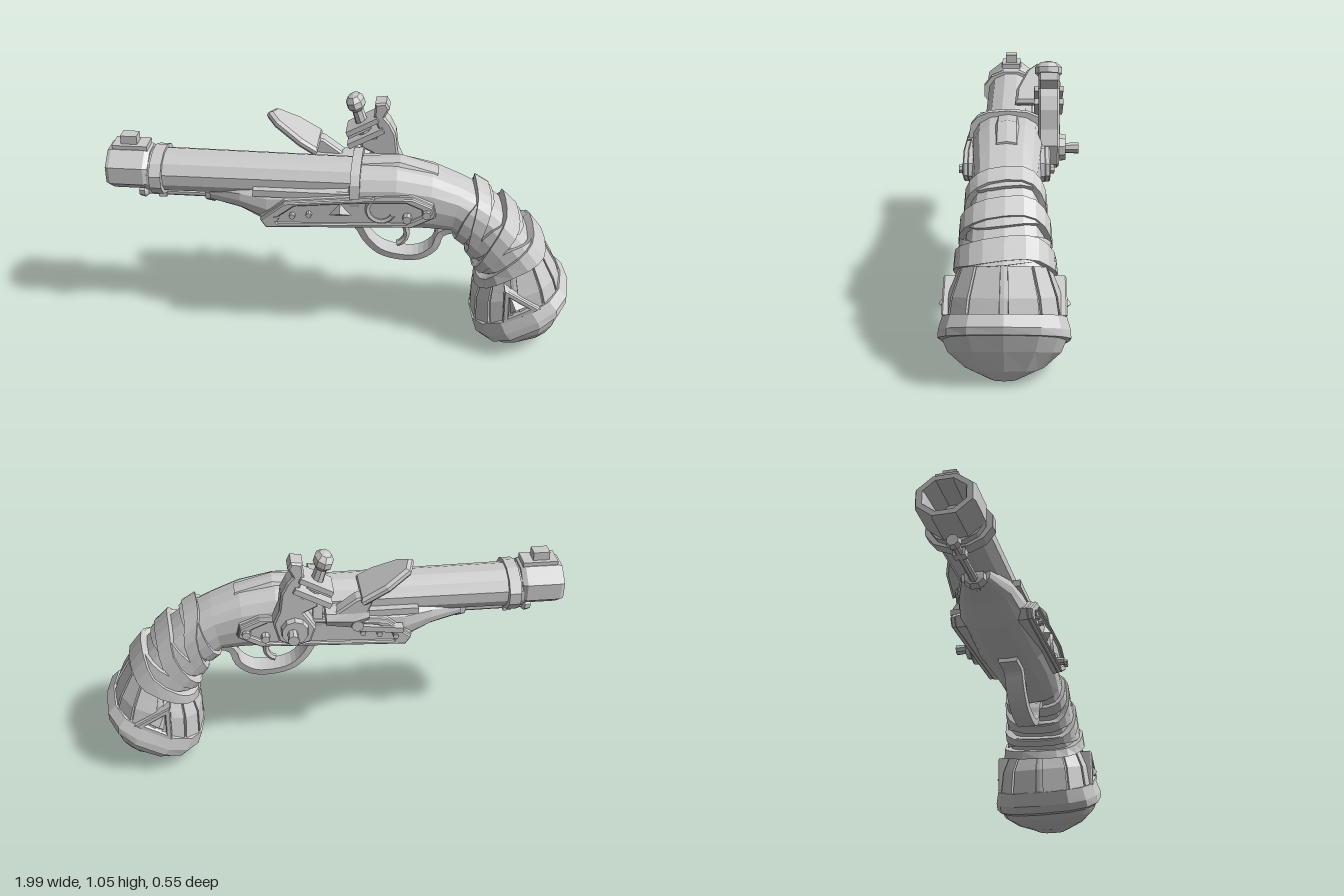
import * as THREE from 'three';

const material = new THREE.MeshStandardMaterial({ color: 0xcccccc, flatShading: true, side: THREE.DoubleSide });
const V = (x, y, z = 0) => new THREE.Vector3(x, y, z);

// Turns every face outward by checking the sign of the enclosed volume
function outward(geo) {
  const p = geo.attributes.position, ix = geo.index.array;
  const v = [V(0, 0), V(0, 0), V(0, 0)];
  let vol = 0;
  for (let i = 0; i < ix.length; i += 3) {
    v.forEach((q, k) => q.fromBufferAttribute(p, ix[i + k]));
    vol += v[0].dot(v[1].clone().cross(v[2]));
  }
  if (vol < 0) for (let i = 0; i < ix.length; i += 3) [ix[i], ix[i + 1]] = [ix[i + 1], ix[i]];
  geo.computeVertexNormals();
  return geo;
}

// Skins a row of equal rings, with end caps unless the row is a closed loop
function loft(rings, loop = false) {
  const n = rings[0].length, m = rings.length, pts = rings.flat(), idx = [];
  for (let i = 0; i < (loop ? m : m - 1); i++) for (let j = 0; j < n; j++) {
    const a = i * n + j, b = i * n + (j + 1) % n, c = ((i + 1) % m) * n + j, d = ((i + 1) % m) * n + (j + 1) % n;
    idx.push(a, b, c, b, d, c);
  }
  if (!loop) for (let j = 1; j < n - 1; j++) {
    const e = (m - 1) * n;
    idx.push(0, j + 1, j, e, e + j, e + j + 1);
  }
  const geo = new THREE.BufferGeometry().setFromPoints(pts);
  geo.setIndex(idx);
  return outward(geo);
}

// Rounded-square section spanning a top point, a bottom point and a half width
const soft = v => Math.sign(v) * Math.abs(v) ** 0.75;
function sectionPoint([tx, ty, bx, by, w], a, off = 0) {
  const c = soft(Math.cos(a)), s = soft(Math.sin(a));
  const hx = (tx - bx) / 2, hy = (ty - by) / 2, k = 1 + off / Math.hypot(hx, hy);
  return V((tx + bx) / 2 + hx * c * k, (ty + by) / 2 + hy * c * k, (w + off) * s);
}
const section = (st, n = 16) => Array.from({ length: n }, (_, i) => sectionPoint(st, i / n * Math.PI * 2));

// Turned part along x from [x, radius] pairs
function turned(profile, y, sides, zScale = 1) {
  const g = new THREE.LatheGeometry(profile.map(([x, r]) => new THREE.Vector2(r, x)), sides, Math.PI / sides);
  return outward(g.rotateZ(-Math.PI / 2).scale(1, 1, zScale).translate(0, y, 0));
}

function slab(points, depth, bevel = 0.008, hole) {
  const shape = new THREE.Shape(points.map(p => new THREE.Vector2(...p)));
  if (hole) shape.holes.push(new THREE.Path(hole.map(p => new THREE.Vector2(...p))));
  return new THREE.ExtrudeGeometry(shape, { depth, bevelEnabled: bevel > 0, bevelSize: bevel, bevelThickness: bevel, bevelSegments: 1, curveSegments: 6 });
}

export function createModel() {
  const root = new THREE.Group();
  const body = new THREE.Group();
  body.name = 'pistol';
  body.position.z = 0.02;
  root.add(body);
  const add = (name, geo, x = 0, y = 0, z = 0, rz = 0, parent = body) => {
    const mesh = new THREE.Mesh(geo, material);
    mesh.name = name;
    mesh.position.set(x, y, z);
    mesh.rotation.z = rz;
    parent.add(mesh);
    return mesh;
  };
  const box = (w, h, d) => new THREE.BoxGeometry(w, h, d);
  const rod = (r0, r1, len, n = 8) => new THREE.CylinderGeometry(r0, r1, len, n);

  // Barrel, hollow muzzle, bands and sight
  add('barrel', turned([[-0.84, 0], [-0.84, 0.09], [0.1, 0.083], [0.1, 0]], 0.742, 12, 1.25));
  add('muzzle', turned([[-0.84, 0], [-0.84, 0.062], [-0.985, 0.066], [-1, 0.072], [-1, 0.092], [-0.985, 0.098],
    [-0.84, 0.098], [-0.82, 0.088], [-0.82, 0]], 0.757, 8, 1.28));
  add('barrelBand', turned([[-0.81, 0], [-0.81, 0.1], [-0.76, 0.1], [-0.76, 0]], 0.743, 12, 1.38));
  add('sightBase', box(0.15, 0.04, 0.09), -0.905, 0.845);
  add('frontSight', box(0.07, 0.06, 0.055), -0.91, 0.872);

  // Ramrod under the barrel
  add('ramrod', turned([[-0.89, 0], [-0.89, 0.024], [-0.865, 0.03], [-0.85, 0.016], [-0.5, 0.017], [-0.5, 0]], 0.63, 8));
  add('ramrodCollar', turned([[-0.6, 0], [-0.595, 0.036], [-0.56, 0.042], [-0.54, 0.03], [-0.54, 0]], 0.64, 8, 1.2));
  add('ramrodHanger', box(0.035, 0.06, 0.05), -0.785, 0.645);

  // Stock and grip: top x, top y, bottom x, bottom y, half width
  const grip = [
    [0.38, 0.80, 0.36, 0.54, 0.14], [0.50, 0.75, 0.46, 0.535, 0.13], [0.62, 0.69, 0.53, 0.47, 0.135],
    [0.74, 0.59, 0.575, 0.40, 0.15], [0.86, 0.46, 0.61, 0.34, 0.165], [0.92, 0.36, 0.58, 0.24, 0.205],
    [0.95, 0.28, 0.58, 0.12, 0.22]];
  const stock = [
    [-0.57, 0.70, -0.57, 0.62, 0.06], [-0.43, 0.725, -0.43, 0.605, 0.115], [-0.31, 0.735, -0.32, 0.55, 0.14],
    [0.03, 0.76, 0.03, 0.535, 0.15], [0.06, 0.825, 0.06, 0.53, 0.155], [0.23, 0.83, 0.23, 0.54, 0.15]];
  add('stock', loft([...stock, ...grip].map(s => section(s))));
  add('breechBand', loft([0.04, 0.08].map(x => section([x, 0.845, x, 0.61, 0.167]))));
  add('tang', loft([[0.08, 0.83], [0.24, 0.845], [0.4, 0.8]].map(([x, y]) => section([x, y, x, y - 0.05, 0.05], 8))));

  // Point on the grip at station u and angle a, pushed out by off
  const gripPoint = (u, a, off) => {
    u = THREE.MathUtils.clamp(u, 0, grip.length - 1.001);
    const i = Math.floor(u);
    return sectionPoint(grip[i].map((v, k) => THREE.MathUtils.lerp(v, grip[i + 1][k], u - i)), a, off);
  };

  // Overlapping leather wraps with alternating slant
  const wraps = [[1.4, 0.5, 0.2, 0.016], [1.8, 0.5, -0.35, 0.026], [2.35, 0.5, 0.3, 0.02],
    [2.75, 0.5, -0.3, 0.03], [3.2, 0.55, 0.25, 0.022], [3.65, 0.5, -0.25, 0.032]];
  for (const [u, width, slant, off] of wraps) {
    const rings = Array.from({ length: 20 }, (_, i) => {
      const a = i / 20 * Math.PI * 2, s = u + slant * Math.cos(a) + 0.06 * Math.sin(3 * a);
      return [[s, -0.01], [s, off], [s + width, off * 0.8], [s + width, -0.01]].map(([t, o]) => gripPoint(t, a, o));
    });
    add('gripWrap', loft(rings, true));
  }

  // Raised slats around the bulb
  for (let k = 0; k < 12; k++) {
    const a0 = (k + 0.06) / 12 * Math.PI * 2, a1 = (k + 0.94) / 12 * Math.PI * 2;
    add('gripSlat', loft([4, 4.5, 5, 5.5, 5.99].map(u =>
      [[a0, -0.01], [a0, 0.009], [a1, 0.009], [a1, -0.01]].map(([a, o]) => gripPoint(u, a, o)))));
  }

  // Pommel cap
  add('pommelRim', loft([[0.955, 0.315, 0.565, 0.12, 0.235], [0.99, 0.28, 0.585, 0.06, 0.25],
    [0.99, 0.25, 0.62, 0.035, 0.252], [0.97, 0.235, 0.65, 0.035, 0.235]].map(s => section(s, 14))));
  add('pommelCap', loft([[0.985, 0.255, 0.63, 0.045, 0.24], [0.965, 0.17, 0.67, 0.02, 0.215],
    [0.935, 0.075, 0.71, 0.008, 0.15], [0.905, 0.02, 0.77, 0, 0.06]].map(s => section(s, 14))));

  // Trigger and its guard
  const guard = new THREE.CatmullRomCurve3([V(-0.04, 0.535), V(0.06, 0.525), V(0.1, 0.46), V(0.16, 0.4), V(0.245, 0.375),
    V(0.335, 0.38), V(0.4, 0.43), V(0.425, 0.5), V(0.5, 0.53)]);
  add('triggerGuard', loft(guard.getPoints(24).map((p, i) => {
    const t = guard.getTangent(i / 24), n = V(-t.y, t.x).multiplyScalar(0.015);
    return [[1, 0.045], [-1, 0.04], [-1, -0.04], [1, -0.045]].map(([s, z]) => p.clone().addScaledVector(n, s).setZ(z));
  })));
  add('trigger', new THREE.TubeGeometry(new THREE.CatmullRomCurve3(
    [V(0.24, 0.56), V(0.27, 0.51), V(0.275, 0.46), V(0.25, 0.425), V(0.235, 0.42)]), 10, 0.015, 6));

  // Side plates, bolts and triangular ornaments on both sides
  const platePts = [[-0.33, 0.61], [-0.31, 0.58], [0.3, 0.61], [0.39, 0.66], [0.38, 0.70], [0.3, 0.735], [0.06, 0.72], [-0.23, 0.69]];
  const shrunk = (pts, k) => {
    const c = pts.reduce((s, p) => [s[0] + p[0] / pts.length, s[1] + p[1] / pts.length], [0, 0]);
    return pts.map(p => p.map((v, i) => c[i] + (v - c[i]) * k));
  };
  const triangle = (pts, height) => {
    const c = shrunk(pts, 0)[0];
    const low = shrunk(pts, 0.62).map(p => V(p[0], p[1], 0));
    return loft([low, low.map(() => V(c[0], c[1], height))]);
  };
  const small = [[-0.06, 0.635], [0.06, 0.64], [0.0, 0.71]], large = [[0.705, 0.35], [0.71, 0.18], [0.85, 0.265]];
  for (const side of [1, -1]) {
    const g = new THREE.Group();
    g.name = side > 0 ? 'leftFittings' : 'rightFittings';
    g.scale.z = side;
    body.add(g);
    add('sidePlate', slab(platePts, 0.04), 0, 0, 0.112, 0, g);
    add('plateRim', slab(platePts, 0.014, 0.005, shrunk(platePts, 0.88)), 0, 0, 0.156, 0, g);
    for (const [x, y] of [[-0.27, 0.62], [-0.2, 0.635], [-0.13, 0.645], [0.28, 0.65], [0.36, 0.675]]) {
      const big = x > 0;
      add('plateBolt', rod(big ? 0.018 : 0.012, big ? 0.022 : 0.014, big ? 0.06 : 0.04).rotateX(Math.PI / 2), x, y, 0.16, 0, g);
    }
    add('gripTriangleFrame', slab(large, 0.05, 0.006, shrunk(large, 0.68)), 0, 0, 0.177, 0, g);
    add('gripTriangle', triangle(large, 0.045), 0, 0, 0.205, 0, g);
    if (side > 0) {
      add('plateTriangle', triangle(shrunk(small, 1.5), 0.03), 0, 0, 0.155, 0, g);
      add('plateCrescent', new THREE.TorusGeometry(0.055, 0.012, 5, 14, 3.8), 0.17, 0.68, 0.16, 2, g);
    }
    add('barrelRail', box(0.42, 0.03, 0.05), -0.16, 0.715, 0.11, 0, g);
  }

  // Hammer on the right side, with jaws, flint and clamping screw
  const hammer = new THREE.Group();
  hammer.name = 'hammer';
  hammer.position.z = -0.17;
  body.add(hammer);
  const hammerPts = [[0.08, 0.71], [0.1, 0.65], [0.16, 0.63], [0.22, 0.66], [0.24, 0.74], [0.215, 0.8], [0.205, 0.88],
    [0.18, 0.93], [0.155, 0.96], [0.175, 1.0], [0.165, 1.02], [0.13, 1.015], [0.125, 0.95], [0.15, 0.9], [0.13, 0.86],
    [0.07, 0.85], [0.07, 0.82], [0.13, 0.79]];
  add('hammerArm', slab(hammerPts, 0.07), 0, 0, -0.035, 0, hammer);
  add('hammerHub', rod(0.055, 0.07, 0.1, 10).rotateX(-Math.PI / 2), 0.16, 0.71, -0.02, 0, hammer);
  add('hammerPin', rod(0.02, 0.024, 0.09).rotateX(Math.PI / 2), 0.17, 0.71, -0.08, 0, hammer);
  add('lowerJaw', box(0.17, 0.024, 0.12), 0.085, 0.865, 0, 0.5, hammer);
  add('flint', box(0.11, 0.02, 0.08), 0.055, 0.888, 0, 0.5, hammer);
  add('upperJaw', box(0.15, 0.022, 0.12), 0.07, 0.918, 0, 0.5, hammer);
  add('jawScrew', rod(0.024, 0.03, 0.14), 0.06, 0.93, 0, 0.3, hammer);
  add('jawScrewHead', new THREE.SphereGeometry(0.043, 8, 5).scale(1, 0.95, 1.4), 0.037, 1.01, 0, 0.3, hammer);

  // Frizzen, pan and spring
  const leaf = [[-0.12, 0], [-0.1, 0.055], [0, 0.09], [0.11, 0.09], [0.11, -0.09], [0.04, -0.085], [-0.08, -0.04]];
  add('frizzen', slab(leaf, 0.014, 0.012).rotateX(-Math.PI / 2), -0.225, 0.885, -0.13, -0.54);
  add('frizzenFoot', slab([[-0.17, 0.85], [-0.1, 0.83], [-0.02, 0.77], [-0.03, 0.73], [-0.13, 0.75]], 0.05), 0, 0, -0.2);
  add('pan', loft([[-0.15, 0.05], [-0.08, 0.09], [0.03, 0.07]].map(([x, h]) => section([x, 0.78, x, 0.78 - h, 0.055], 8))), 0, 0, -0.165);
  add('frizzenPivot', rod(0.022, 0.026, 0.09).rotateX(Math.PI / 2), -0.1, 0.715, -0.18);
  add('frizzenSpring', box(0.2, 0.025, 0.04), -0.2, 0.665, -0.165, 0.12);
  return root;
}
